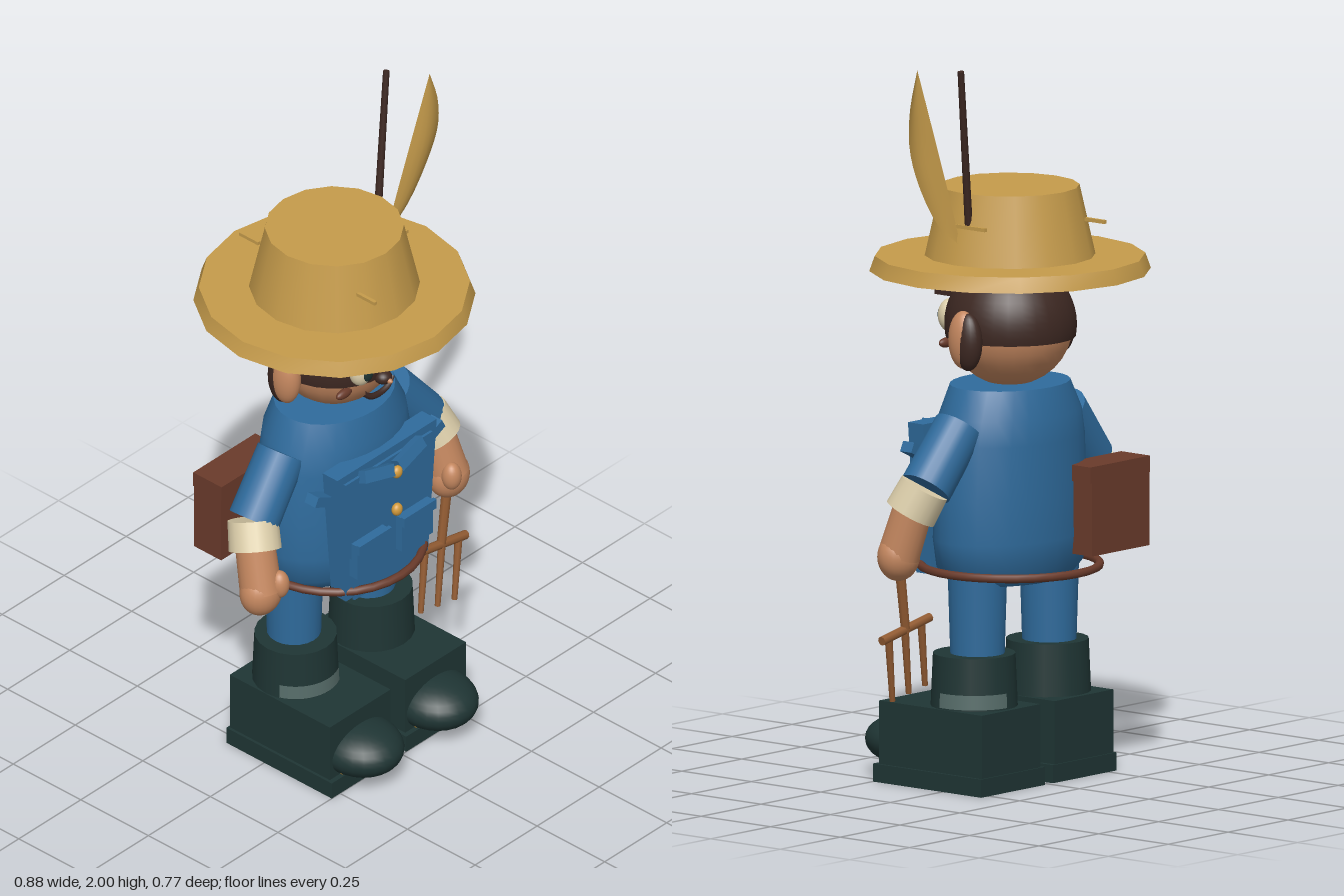
import * as THREE from 'three';
import { toCreasedNormals } from 'three/addons/utils/BufferGeometryUtils.js';
import { ParametricGeometry } from 'three/addons/geometries/ParametricGeometry.js';

const mat = (name, color, side = THREE.FrontSide) => {
  const m = new THREE.MeshStandardMaterial({ color, side });
  m.name = name;
  return m;
};
const V = (x, y, z) => new THREE.Vector3(x, y, z);

export function createModel() {
  const root = new THREE.Group();
  root.name = 'farmer';
  const blue = mat('denimBlue', 0x2f6b9c);
  const boot = mat('bootGreen', 0x1f3534);
  const straw = mat('straw', 0xc59b4b, THREE.DoubleSide);
  const hair = mat('hairBrown', 0x3d2822);
  const skin = mat('skin', 0xc4875f);
  const cream = mat('cream', 0xddcfab);
  const leather = mat('leather', 0x6a3b2b);
  const wood = mat('wood', 0x935c33);
  const grey = mat('strapGrey', 0x566c69, THREE.DoubleSide);
  const gold = mat('brass', 0xd29a3c);

  const add = (name, geo, material, x = 0, y = 0, z = 0, parent = root) => {
    const m = new THREE.Mesh(geo, material);
    m.name = name;
    m.position.set(x, y, z);
    parent.add(m);
    return m;
  };
  const box = (name, w, h, d, material, x, y, z) =>
    add(name, new THREE.BoxGeometry(w, h, d), material, x, y, z);
  const ball = (name, rx, ry, rz, material, x, y, z) => {
    const m = add(name, new THREE.SphereGeometry(1, 24, 16), material, x, y, z);
    m.scale.set(rx, ry, rz);
    return m;
  };
  // Tapered rod between two points
  const rod = (name, a, b, ra, rb, material, sides = 16) => {
    const dir = b.clone().sub(a);
    const m = add(name, new THREE.CylinderGeometry(rb, ra, dir.length(), sides), material);
    m.position.copy(a).add(b).multiplyScalar(0.5);
    m.quaternion.setFromUnitVectors(V(0, 1, 0), dir.normalize());
    return m;
  };

  // Torso: oval lathe, rounder towards the neck
  const profile = [[0, 0.56], [0.2, 0.56], [0.24, 0.6], [0.252, 0.68], [0.25, 0.8], [0.24, 0.95],
    [0.225, 1.02], [0.185, 1.1], [0, 1.1]].map(p => new THREE.Vector2(...p));
  const torso = new THREE.LatheGeometry(profile, 28);
  const tp = torso.attributes.position;
  for (let i = 0; i < tp.count; i++) {
    const k = THREE.MathUtils.clamp((tp.getY(i) - 0.9) / 0.2, 0, 1);
    tp.setZ(i, tp.getZ(i) * (0.69 + 0.11 * k));
  }
  add('torso', toCreasedNormals(torso, 0.8), blue);

  // Bib with raised inner panel, pockets, collar and buttons
  const trapezoid = (top, bottom, y0, y1, depth) => new THREE.ExtrudeGeometry(
    new THREE.Shape([[-bottom, y0], [bottom, y0], [top, y1], [-top, y1]].map(p => new THREE.Vector2(...p))),
    { depth, bevelEnabled: false });
  add('bib', trapezoid(0.2, 0.165, 0.57, 0.99, 0.055), blue, 0, 0, 0.14);
  add('bibPanel', trapezoid(0.175, 0.14, 0.565, 0.965, 0.008), blue, 0, 0, 0.195);
  for (const s of [-1, 1]) {
    box('pocket', 0.125, 0.11, 0.03, blue, s * 0.09, 0.705, 0.21);
    box('pocketFlap', 0.13, 0.03, 0.012, blue, s * 0.09, 0.75, 0.23);
    const collar = box('collarFlap', 0.11, 0.035, 0.03, blue, s * 0.065, 0.955, 0.215);
    collar.rotation.set(-0.4, 0, s * 0.25);
    const tab = box('sideTab', 0.09, 0.03, 0.04, blue, s * 0.215, 0.915, 0.15);
    tab.rotation.z = s * 0.45;
  }
  for (const y of [0.81, 0.935]) ball('button', 0.017, 0.019, 0.014, gold, 0, y, 0.232);

  // Belt and back satchel
  const belt = add('belt', new THREE.TorusGeometry(0.245, 0.012, 8, 32), leather, 0, 0.595, 0);
  belt.rotation.x = Math.PI / 2;
  box('satchel', 0.24, 0.21, 0.1, leather, -0.195, 0.735, -0.18);
  box('satchelLid', 0.25, 0.045, 0.105, leather, -0.193, 0.855, -0.178);

  // Head, hair and face
  ball('head', 0.176, 0.17, 0.172, skin, 0, 1.26, 0);
  add('hair', new THREE.SphereGeometry(0.181, 28, 16, 0, Math.PI * 2, 0, 1.76), hair, 0, 1.26, -0.002);
  ball('nose', 0.025, 0.02, 0.025, hair, 0, 1.228, 0.18);
  ball('noseTip', 0.008, 0.008, 0.015, skin, 0, 1.225, 0.2);
  for (const s of [-1, 1]) {
    ball('ear', 0.036, 0.08, 0.045, skin, s * 0.195, 1.24, 0);
    ball('earBack', 0.034, 0.08, 0.043, hair, s * 0.194, 1.235, -0.016);
    ball('eye', 0.034, 0.046, 0.032, cream, s * 0.068, 1.274, 0.158);
    ball('iris', 0.018, 0.023, 0.007, boot, s * 0.066, 1.274, 0.187);
    box('brow', 0.02, 0.012, 0.055, hair, s * 0.073, 1.335, 0.172);
    ball('cheek', 0.03, 0.014, 0.012, leather, s * 0.108, 1.206, 0.135);
  }
  const smile = new THREE.CatmullRomCurve3([V(-0.058, 1.192, 0.16), V(-0.035, 1.173, 0.165),
    V(0, 1.165, 0.165), V(0.035, 1.173, 0.165), V(0.058, 1.192, 0.16)]);
  add('smile', new THREE.TubeGeometry(smile, 16, 0.009, 6), hair);

  // Straw hat with loose straws
  add('hatBrim', toCreasedNormals(new THREE.CylinderGeometry(0.37, 0.385, 0.042, 16), 0.5), straw, 0, 1.43, 0);
  add('hatCrown', new THREE.CylinderGeometry(0.19, 0.234, 0.195, 16), straw, 0, 1.546, 0);
  box('looseStraw', 0.01, 0.01, 0.07, straw, -0.1, 1.555, 0.21);
  box('looseStraw', 0.01, 0.01, 0.07, straw, -0.105, 1.555, -0.217);
  box('looseStraw', 0.01, 0.01, 0.17, straw, 0.206, 1.555, -0.005);

  // Feather blade and its quill
  const inner = new THREE.CatmullRomCurve3([V(0.205, 1.5, 0), V(0.24, 1.65, 0.015),
    V(0.285, 1.82, 0.03), V(0.335, 2, 0.045)]);
  const outer = new THREE.CatmullRomCurve3([V(0.205, 1.5, 0), V(0.3, 1.57, 0), V(0.37, 1.69, 0.01),
    V(0.39, 1.79, 0.025), V(0.378, 1.89, 0.035), V(0.335, 2, 0.045)]);
  add('feather', new ParametricGeometry((u, v, out) => {
    out.copy(inner.getPoint(v)).lerp(outer.getPoint(v), u);
    out.z += 0.02 * Math.sin(Math.PI * u) * Math.sin(Math.PI * v);
  }, 6, 16), straw);
  rod('quill', V(0.195, 1.55, -0.02), V(0.267, 1.998, -0.053), 0.011, 0.009, hair, 8);

  // Arms, legs and boots
  for (const s of [-1, 1]) {
    rod('sleeve', V(s * 0.213, 1, 0), V(s * 0.338, 0.845, 0.012), 0.07, 0.072, blue, 20);
    rod('cuff', V(s * 0.342, 0.85, 0.012), V(s * 0.366, 0.777, 0.043), 0.07, 0.073, cream, 20);
    rod('forearm', V(s * 0.36, 0.8, 0.035), V(s * 0.378, 0.66, 0.075), 0.055, 0.058, skin, 20);
    ball('hand', 0.063, 0.068, 0.055, skin, s * 0.378, 0.657, 0.075);
    ball('thumb', 0.028, 0.042, 0.028, skin, s * 0.347, 0.685, 0.115);

    add('trouserLeg', new THREE.CylinderGeometry(0.082, 0.074, 0.26, 20), blue, s * 0.15, 0.48, -0.012);
    add('bootShaft', new THREE.CylinderGeometry(0.113, 0.12, 0.16, 20), boot, s * 0.153, 0.29, -0.003);
    box('bootBody', 0.245, 0.18, 0.37, boot, s * 0.152, 0.135, 0.05);
    box('bootSole', 0.266, 0.05, 0.39, boot, s * 0.15, 0.025, 0.055);
    ball('bootToe', 0.115, 0.073, 0.13, boot, s * 0.15, 0.103, 0.23);
    for (const dx of [-0.08, 0.08]) ball('bootStud', 0.008, 0.008, 0.008, gold, s * 0.15 + dx, 0.058, 0.24);
    // Partial strap around each shaft
    add('bootStrap', new THREE.CylinderGeometry(0.121, 0.123, 0.04, 16, 1, true, s < 0 ? -1.2 : 1.4, 1.7),
      grey, s * 0.153, 0.25, -0.003);
  }

  // Hand fork
  rod('forkHandle', V(0.372, 0.64, 0.078), V(0.337, 0.44, 0.085), 0.015, 0.013, wood, 8);
  rod('forkBar', V(0.237, 0.468, 0.085), V(0.437, 0.428, 0.085), 0.013, 0.013, wood, 8);
  for (let i = 0; i < 3; i++) {
    const x = 0.272 + i * 0.068, y = 0.458 - i * 0.013;
    rod('forkTine', V(x, y, 0.085), V(x - 0.033, y - 0.18, 0.1), 0.011, 0.008, wood, 8);
  }
  return root;
}
